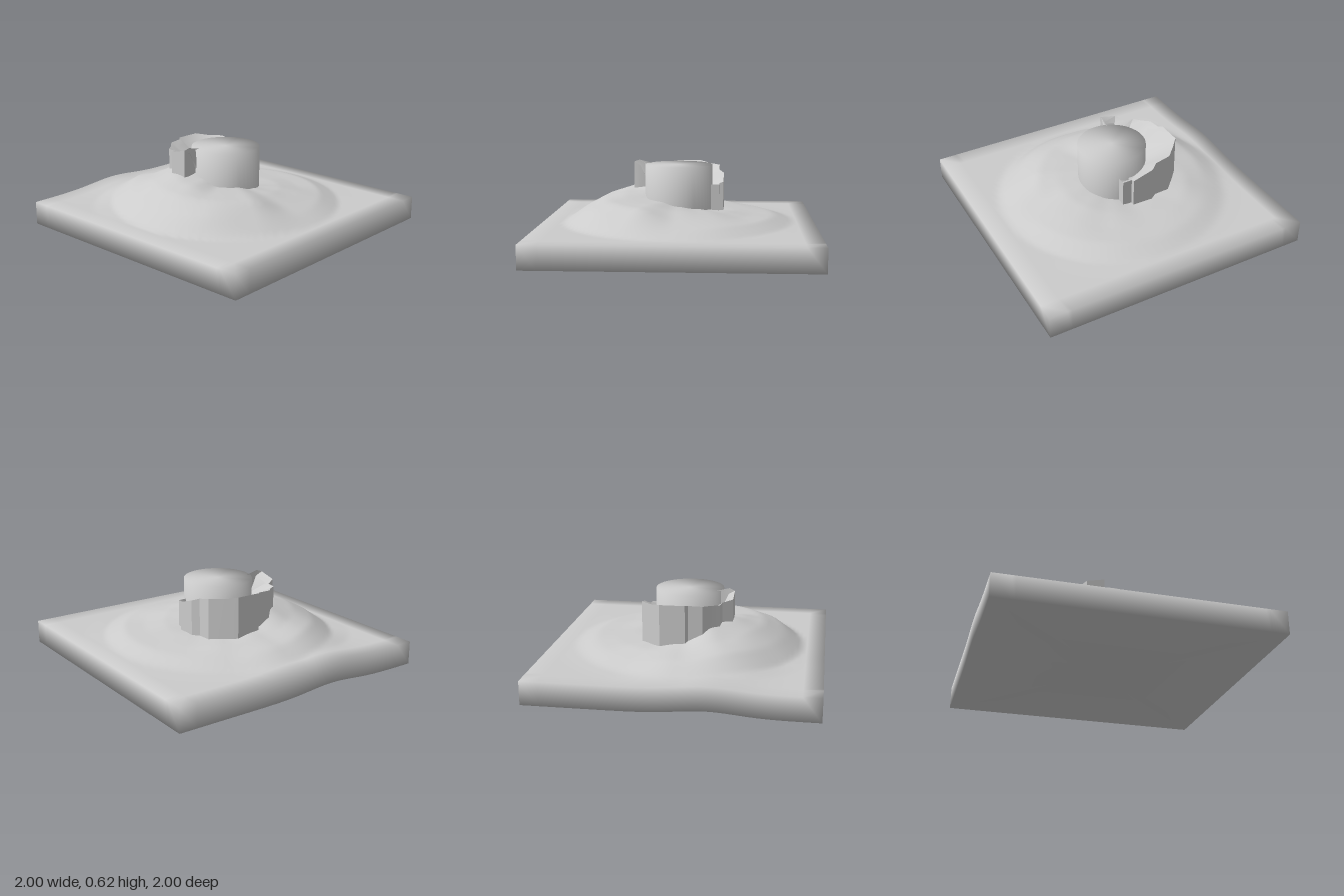
import * as THREE from 'three';
import { toCreasedNormals } from 'three/addons/utils/BufferGeometryUtils.js';

const material = new THREE.MeshStandardMaterial({ color: 0xcccccc });
const SLAB = 0.17;

// Mound heights: one row per 30 degrees from +x towards +z, one column per radius
const RADII = [0.25, 0.4, 0.55, 0.7, 0.84];
const HEIGHTS = [
  [0.25, 0.25, 0.235, 0.225, 0.175],
  [0.27, 0.265, 0.24, 0.23, 0.175],
  [0.29, 0.285, 0.26, 0.23, 0.17],
  [0.31, 0.30, 0.26, 0.22, 0.17],
  [0.34, 0.34, 0.33, 0.25, 0.17],
  [0.345, 0.345, 0.34, 0.28, 0.17],
  [0.39, 0.385, 0.35, 0.27, 0.17],
  [0.43, 0.41, 0.36, 0.28, 0.18],
  [0.43, 0.41, 0.34, 0.30, 0.21],
  [0.38, 0.31, 0.28, 0.26, 0.20],
  [0.29, 0.27, 0.26, 0.22, 0.175],
  [0.26, 0.25, 0.24, 0.22, 0.175],
];
const smooth = (t) => t * t * (3 - 2 * t);

function along(row, r) {
  if (r <= RADII[0]) return row[0];
  for (let i = 1; i < RADII.length; i++) {
    if (r < RADII[i]) {
      const t = (r - RADII[i - 1]) / (RADII[i] - RADII[i - 1]);
      return THREE.MathUtils.lerp(row[i - 1], row[i], t);
    }
  }
  const t = Math.min((r - 0.84) / 0.14, 1);
  return THREE.MathUtils.lerp(row[4], SLAB, t);
}

function groundHeight(x, z) {
  const r = Math.hypot(x, z);
  const a = ((Math.atan2(z, x) / (2 * Math.PI) + 1) % 1) * 12;
  const k = Math.floor(a);
  const mound = THREE.MathUtils.lerp(
    along(HEIGHTS[k % 12], r), along(HEIGHTS[(k + 1) % 12], r), smooth(a - k));
  // low swell running out over the back edge
  const swell = SLAB + 0.033 * Math.exp(-(((x + 0.25) / 0.28) ** 2))
    * smooth(THREE.MathUtils.clamp((-z - 0.5) / 0.3, 0, 1));
  return Math.max(mound, swell);
}

// Ground slab: height grid, side skirt and underside sharing their rim vertices
function groundGeometry() {
  const coords = [-1];
  const fine = 54;
  for (let i = 0; i <= fine; i++) coords.push(-0.87 + (1.74 * i) / fine);
  coords.push(1);
  const n = coords.length;
  const pos = [], index = [], rim = [];
  for (const z of coords) for (const x of coords) pos.push(x, groundHeight(x, z), z);
  for (let j = 0; j < n - 1; j++) {
    for (let i = 0; i < n - 1; i++) {
      const a = j * n + i, b = a + n;
      index.push(a, b, a + 1, b, b + 1, a + 1);
    }
  }
  for (let i = 0; i < n - 1; i++) rim.push((n - 1) * n + i);
  for (let j = n - 1; j > 0; j--) rim.push(j * n + n - 1);
  for (let i = n - 1; i > 0; i--) rim.push(i);
  for (let j = 0; j < n - 1; j++) rim.push(j * n);
  const base = n * n, m = rim.length, centre = base + m;
  for (const v of rim) pos.push(pos[v * 3], pos[v * 3 + 1] - SLAB, pos[v * 3 + 2]);
  pos.push(0, 0, 0);
  for (let k = 0; k < m; k++) {
    const k2 = (k + 1) % m;
    index.push(rim[k], base + k, base + k2, rim[k], base + k2, rim[k2]);
    index.push(centre, base + k2, base + k);
  }
  const g = new THREE.BufferGeometry();
  g.setAttribute('position', new THREE.Float32BufferAttribute(pos, 3));
  g.setIndex(index);
  g.computeVertexNormals();
  return g;
}

// Rock wall: outline as x, z and top height, from the right end round the back
const WALL = [
  [-0.2, -0.08, 0.59], [-0.3, -0.08, 0.615], [-0.34, -0.09, 0.6], [-0.34, -0.22, 0.57],
  [-0.27, -0.26, 0.555], [-0.26, -0.33, 0.555], [-0.2, -0.37, 0.56], [-0.15, -0.42, 0.565],
  [-0.05, -0.43, 0.57], [-0.03, -0.455, 0.575], [0.15, -0.455, 0.575], [0.22, -0.39, 0.56],
  [0.3, -0.31, 0.555], [0.3, -0.2, 0.53], [0.335, -0.15, 0.51], [0.33, 0, 0.46],
  [0.3, 0, 0.45], [0.3, 0.07, 0.45], [0.22, 0.07, 0.45],
];

function wallGeometry() {
  const pos = [], index = [], rows = 4;
  for (const [x, z, top] of WALL) {
    const r = Math.hypot(x, z);
    const inner = Math.min(1, Math.max(0.24, r - 0.05) / r);
    const foot = Math.min(1, 0.24 / r);
    pos.push(x, 0.18, z, x, top, z);
    pos.push(x * inner, top - 0.03, z * inner);
    pos.push(x * foot, 0.44, z * foot);
  }
  for (let i = 0; i < WALL.length - 1; i++) {
    for (let j = 0; j < rows - 1; j++) {
      const a = i * rows + j, b = a + rows;
      index.push(b, a, a + 1, b, a + 1, b + 1);
    }
  }
  const g = new THREE.BufferGeometry();
  g.setAttribute('position', new THREE.Float32BufferAttribute(pos, 3));
  g.setIndex(index);
  return toCreasedNormals(g, 0.6);
}

export function createModel() {
  const group = new THREE.Group();
  const add = (name, geometry, mat = material) => {
    const mesh = new THREE.Mesh(geometry, mat);
    mesh.name = name;
    group.add(mesh);
  };
  add('ground', groundGeometry());

  // Round tower with a softly shaded top edge
  const profile = [[0.25, 0.18], [0.25, 0.59], [0, 0.59]].map(([x, y]) => new THREE.Vector2(x, y));
  add('tower', new THREE.LatheGeometry(profile, 48));

  const wallMaterial = material.clone();
  wallMaterial.side = THREE.DoubleSide;
  add('rockWall', wallGeometry(), wallMaterial);
  return group;
}
